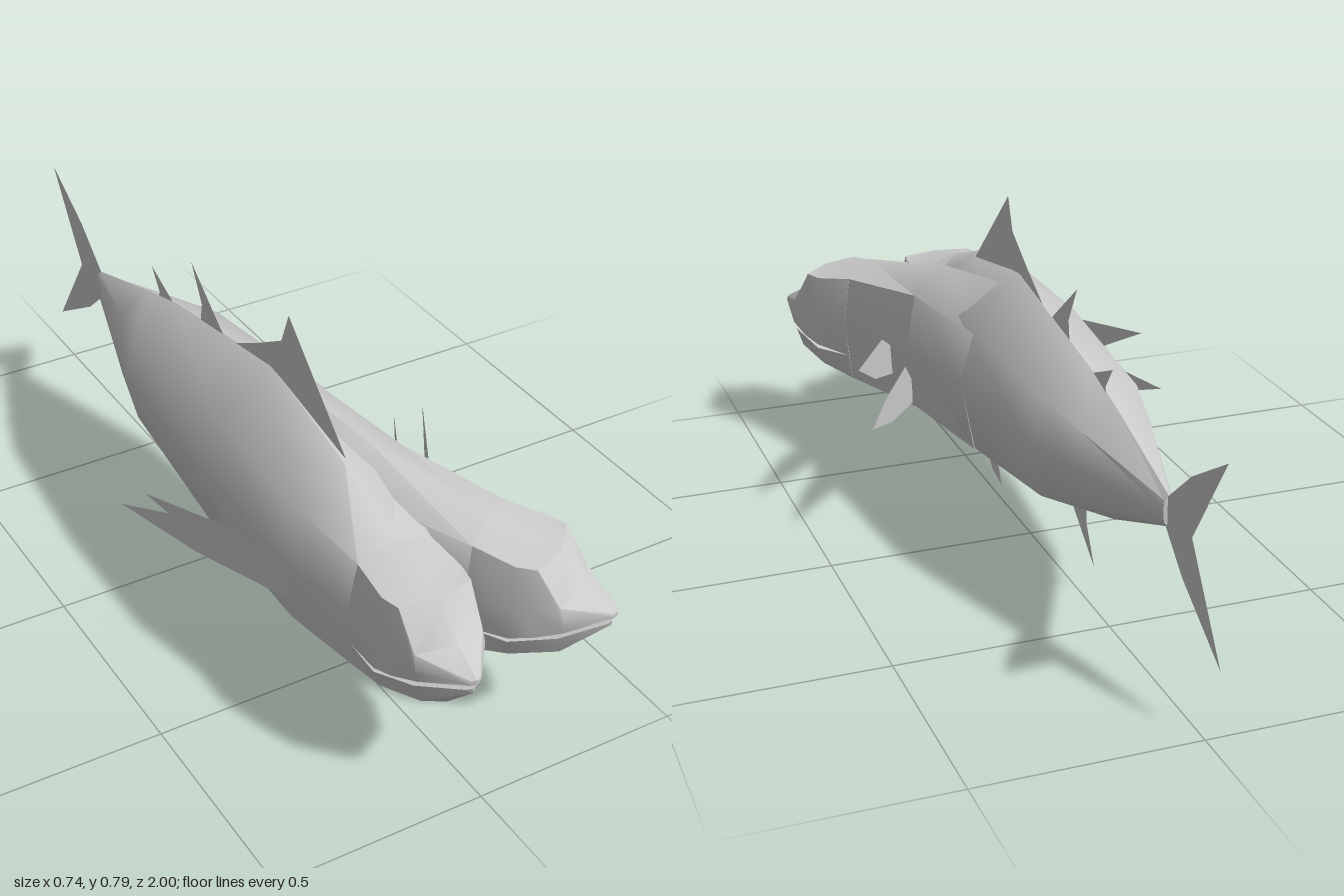
import * as THREE from 'three';
import { toCreasedNormals } from 'three/addons/utils/BufferGeometryUtils.js';

const skin = new THREE.MeshStandardMaterial({ color: 0xcccccc });
const finSkin = new THREE.MeshStandardMaterial({ color: 0xcccccc, side: THREE.DoubleSide });

// Closes a half outline (first and last point on the midline) into a full ring.
const mirrorRing = (half) => [
  ...half,
  ...half.slice(1, -1).reverse().map(([x, y, z]) => [-x, y, z]),
];

// Skins a list of equal-length rings, ordered back to front, and caps both ends.
function loft(name, rings, crease) {
  const n = rings[0].length, last = (rings.length - 1) * n, index = [];
  for (let i = 0; i < rings.length - 1; i++) {
    for (let j = 0; j < n; j++) {
      const a = i * n + j, b = i * n + ((j + 1) % n);
      index.push(a, a + n, b, b, a + n, b + n);
    }
  }
  for (let j = 1; j < n - 1; j++) {
    index.push(0, j, j + 1, last, last + j + 1, last + j);
  }
  const geometry = new THREE.BufferGeometry();
  geometry.setAttribute('position', new THREE.Float32BufferAttribute(rings.flat(2), 3));
  geometry.setIndex(index);
  const mesh = new THREE.Mesh(toCreasedNormals(geometry, crease), skin);
  mesh.name = name;
  return mesh;
}

// Eight-sided body section: centre, heading, half width and five heights.
function section([cx, cz, angle, w, top, shoulder, side, low, bottom]) {
  const half = [[0, top], [0.8 * w, shoulder], [w, side], [0.8 * w, low], [0, bottom]];
  return mirrorRing(half).map(([x, y]) => [cx + x * Math.cos(angle), y, cz - x * Math.sin(angle)]);
}

// Flat fin from (z, y) outline points; xAt gives the sideways position for each z.
function fin(name, outline, xAt) {
  const geometry = new THREE.ShapeGeometry(new THREE.Shape(outline.map((p) => new THREE.Vector2(...p))));
  const p = geometry.attributes.position;
  for (let i = 0; i < p.count; i++) {
    const z = p.getX(i);
    p.setXYZ(i, xAt(z), p.getY(i), z);
  }
  geometry.computeVertexNormals();
  const mesh = new THREE.Mesh(geometry, finSkin);
  mesh.name = name;
  return mesh;
}

// Head with a steep flat forehead and a slightly open beak-like mouth.
function makeHead(name, x, z, angle) {
  const head = new THREE.Group();
  head.name = name;
  const upper = [
    [[0, 0.5, -0.1], [0.092, 0.475, -0.1], [0.115, 0.36, -0.1], [0.102, 0.265, -0.1], [0, 0.265, -0.1]],
    [[0, 0.475, 0], [0.1, 0.46, 0], [0.115, 0.36, 0], [0.112, 0.278, 0], [0, 0.29, 0]],
    [[0, 0.46, 0.065], [0.09, 0.46, 0.045], [0.105, 0.37, 0.05], [0.105, 0.292, 0.05], [0, 0.31, 0.06]],
    [[0, 0.385, 0.13], [0.085, 0.375, 0.1], [0.088, 0.34, 0.11], [0.082, 0.31, 0.11], [0, 0.325, 0.13]],
    [[0, 0.345, 0.2], [0.012, 0.343, 0.195], [0.015, 0.337, 0.195], [0.013, 0.332, 0.195], [0, 0.332, 0.2]],
  ];
  const jaw = [
    [[0, 0.265, -0.1], [0.102, 0.265, -0.1], [0.092, 0.2, -0.1], [0, 0.165, -0.1]],
    [[0, 0.272, 0], [0.112, 0.268, 0], [0.092, 0.22, 0], [0, 0.18, 0]],
    [[0, 0.298, 0.11], [0.082, 0.292, 0.1], [0.06, 0.24, 0.1], [0, 0.218, 0.11]],
    [[0, 0.315, 0.19], [0.014, 0.314, 0.185], [0.01, 0.307, 0.185], [0, 0.303, 0.19]],
  ];
  head.add(loft('upperHead', upper.map(mirrorRing), 0.6), loft('lowerJaw', jaw.map(mirrorRing), 0.6));
  head.position.set(x, 0, z);
  head.rotation.y = angle;
  return head;
}

export function createModel() {
  const model = new THREE.Group();
  model.name = 'twoHeadedFish';

  // Main body, running from the tail root to the first head
  const body = [
    [-0.03, -0.73, 0, 0.012, 0.42, 0.41, 0.39, 0.36, 0.35],
    [-0.03, -0.45, 0, 0.1, 0.505, 0.46, 0.385, 0.285, 0.24],
    [-0.028, -0.3, 0, 0.143, 0.545, 0.485, 0.385, 0.25, 0.195],
    [-0.025, 0.15, 0, 0.175, 0.62, 0.515, 0.38, 0.205, 0.13],
    [-0.045, 0.5, 0, 0.155, 0.57, 0.505, 0.37, 0.2, 0.15],
    [-0.045, 0.7, 0.03, 0.115, 0.5, 0.475, 0.36, 0.2, 0.165],
  ];
  model.add(loft('body', body.map(section), 0.9));

  // Second neck, branching from the body to the left
  const neck = [
    [-0.01, 0.1, 0.1, 0.155, 0.6, 0.505, 0.38, 0.21, 0.14],
    [0.055, 0.45, 0.35, 0.135, 0.555, 0.5, 0.37, 0.2, 0.15],
    [0.179, 0.717, 0.59, 0.115, 0.5, 0.475, 0.36, 0.2, 0.165],
  ];
  model.add(loft('leftNeck', neck.map(section), 0.9));

  model.add(makeHead('centreHead', -0.042, 0.8, 0.03), makeHead('leftHead', 0.235, 0.8, 0.59));

  // Fins standing on the midline
  const midFins = {
    dorsalFin: [[0.48, 0.56], [0.23, 0.79], [0.2, 0.71], [0.1, 0.65], [-0.01, 0.59], [0.15, 0.58]],
    frontFinlet: [[-0.05, 0.57], [-0.22, 0.7], [-0.17, 0.61], [-0.18, 0.54]],
    rearFinlet: [[-0.3, 0.53], [-0.43, 0.585], [-0.39, 0.53], [-0.41, 0.49]],
    analFin: [[-0.16, 0.2], [-0.34, 0.07], [-0.29, 0.16], [-0.29, 0.22]],
    pelvicFin: [[0.49, 0.16], [0.42, 0.08], [0.36, 0.02], [0.29, 0.005], [0.31, 0.045], [0.38, 0.16]],
    tailFin: [[-0.72, 0.41], [-0.84, 0.51], [-1, 0.605], [-0.85, 0.38], [-1, 0.155], [-0.81, 0.27], [-0.72, 0.35]],
  };
  for (const [name, outline] of Object.entries(midFins)) model.add(fin(name, outline, () => -0.028));

  // Two pairs of side fins sweeping outwards and back
  const upperFin = [[0.51, 0.33], [0.4, 0.4], [0.19, 0.41], [0.33, 0.325], [0.5, 0.265]];
  const lowerFin = [[0.42, 0.27], [0.36, 0.335], [0.2, 0.33], [0.07, 0.305], [0.24, 0.245], [0.42, 0.212]];
  for (const [side, s] of [['left', 1], ['right', -1]]) {
    model.add(
      fin(side + 'UpperSideFin', upperFin, (z) => s * (0.19 + 0.57 * (0.5 - z))),
      fin(side + 'LowerSideFin', lowerFin, (z) => s * (0.165 + 0.585 * (0.42 - z))),
    );
  }
  return model;
}
